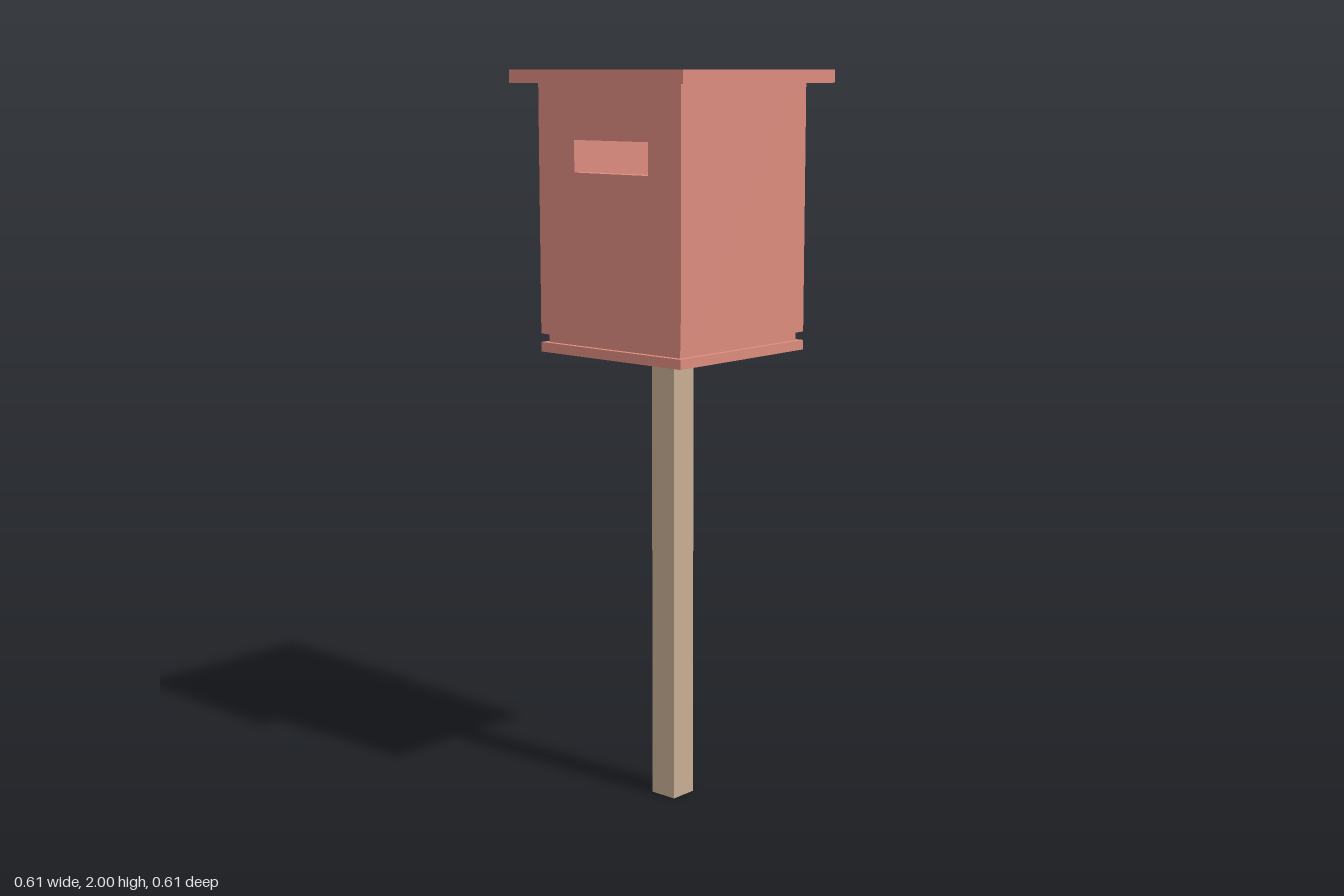
import * as THREE from 'three';

export function createModel() {
  const model = new THREE.Group();
  const paint = new THREE.MeshStandardMaterial({ color: 0xdd8b7e });
  const wood = new THREE.MeshStandardMaterial({ color: 0xc8ad92 });

  // Square slab or post between two heights
  function block(name, width, y0, y1, material) {
    const mesh = new THREE.Mesh(new THREE.BoxGeometry(width, y1 - y0, width), material);
    mesh.name = name;
    mesh.position.y = (y0 + y1) / 2;
    model.add(mesh);
  }

  block('post', 0.08, 0, 1.255, wood);
  block('basePlate', 0.5, 1.255, 1.281, paint);
  block('floorPlate', 0.47, 1.281, 1.304, paint);
  block('roof', 0.608, 1.966, 2, paint);

  // Hollow box with a slot through the front and back walls
  const half = 0.25, wall = 0.04, bottom = 1.304, top = 1.966;
  const rectangle = (path, x0, y0, x1, y1) =>
    path.moveTo(x0, y0).lineTo(x1, y0).lineTo(x1, y1).lineTo(x0, y1).closePath();

  const panel = new THREE.Shape();
  rectangle(panel, -half, bottom, half, top);
  const slot = new THREE.Path();
  rectangle(slot, -0.12, 1.737, 0.14, 1.821);
  panel.holes.push(slot);
  const panelGeometry = new THREE.ExtrudeGeometry(panel, { depth: wall, bevelEnabled: false });

  const sideGeometry = new THREE.BoxGeometry(wall, top - bottom, 2 * (half - wall));

  for (const [name, z] of [['frontWall', half - wall], ['backWall', -half]]) {
    const mesh = new THREE.Mesh(panelGeometry, paint);
    mesh.name = name;
    mesh.position.z = z;
    model.add(mesh);
  }
  for (const [name, side] of [['leftWall', 1], ['rightWall', -1]]) {
    const mesh = new THREE.Mesh(sideGeometry, paint);
    mesh.name = name;
    mesh.position.set(side * (half - wall / 2), (bottom + top) / 2, 0);
    model.add(mesh);
  }

  return model;
}
